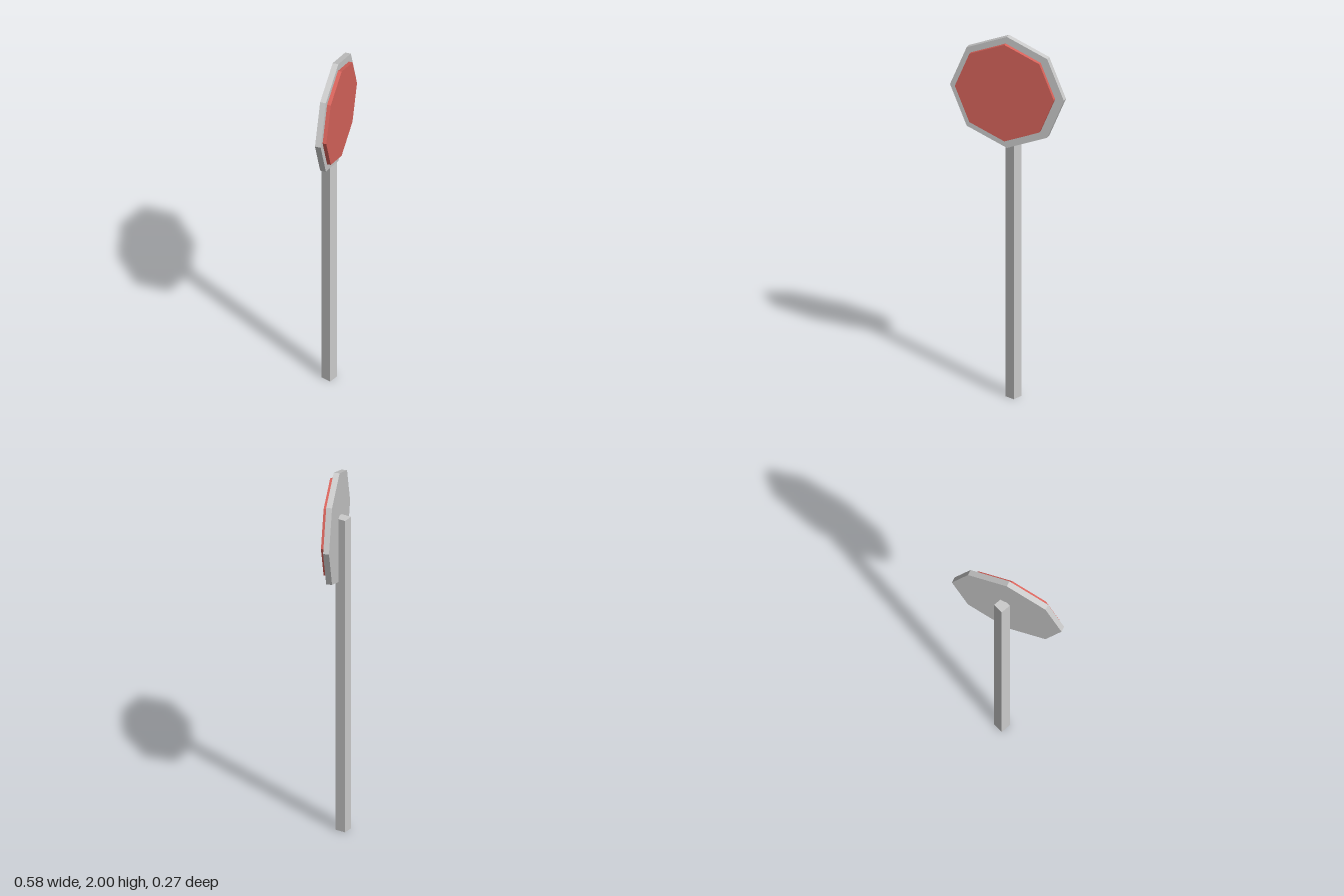
import * as THREE from 'three';

const grey = new THREE.MeshStandardMaterial({ color: 0xcccccc, flatShading: true });
const red = new THREE.MeshStandardMaterial({ color: 0xd9645c, flatShading: true });

// Octagonal plate facing +z with one corner pointing up
function octagon(name, radius, depth, material) {
  const geometry = new THREE.CylinderGeometry(radius, radius, depth, 8);
  geometry.rotateX(Math.PI / 2);
  const mesh = new THREE.Mesh(geometry, material);
  mesh.name = name;
  return mesh;
}

export function createModel() {
  const model = new THREE.Group();
  model.name = 'roadSign';

  // Square post behind the sign
  const postHeight = 1.76;
  const post = new THREE.Mesh(new THREE.BoxGeometry(0.056, postHeight, 0.056), grey);
  post.name = 'post';
  post.position.set(0, postHeight / 2, -0.044);
  model.add(post);

  // Sign head, turned an eighth of a right-angle pair about the post
  const head = new THREE.Group();
  head.name = 'signHead';
  head.position.set(0, 1.694, -0.0035);
  head.rotation.y = Math.PI / 8;
  model.add(head);

  // Grey backing plate and the smaller raised red face
  head.add(octagon('backPlate', 0.306, 0.03, grey));
  const face = octagon('signFace', 0.266, 0.02, red);
  face.position.set(-0.007, 0.003, 0.0245);
  head.add(face);

  return model;
}
